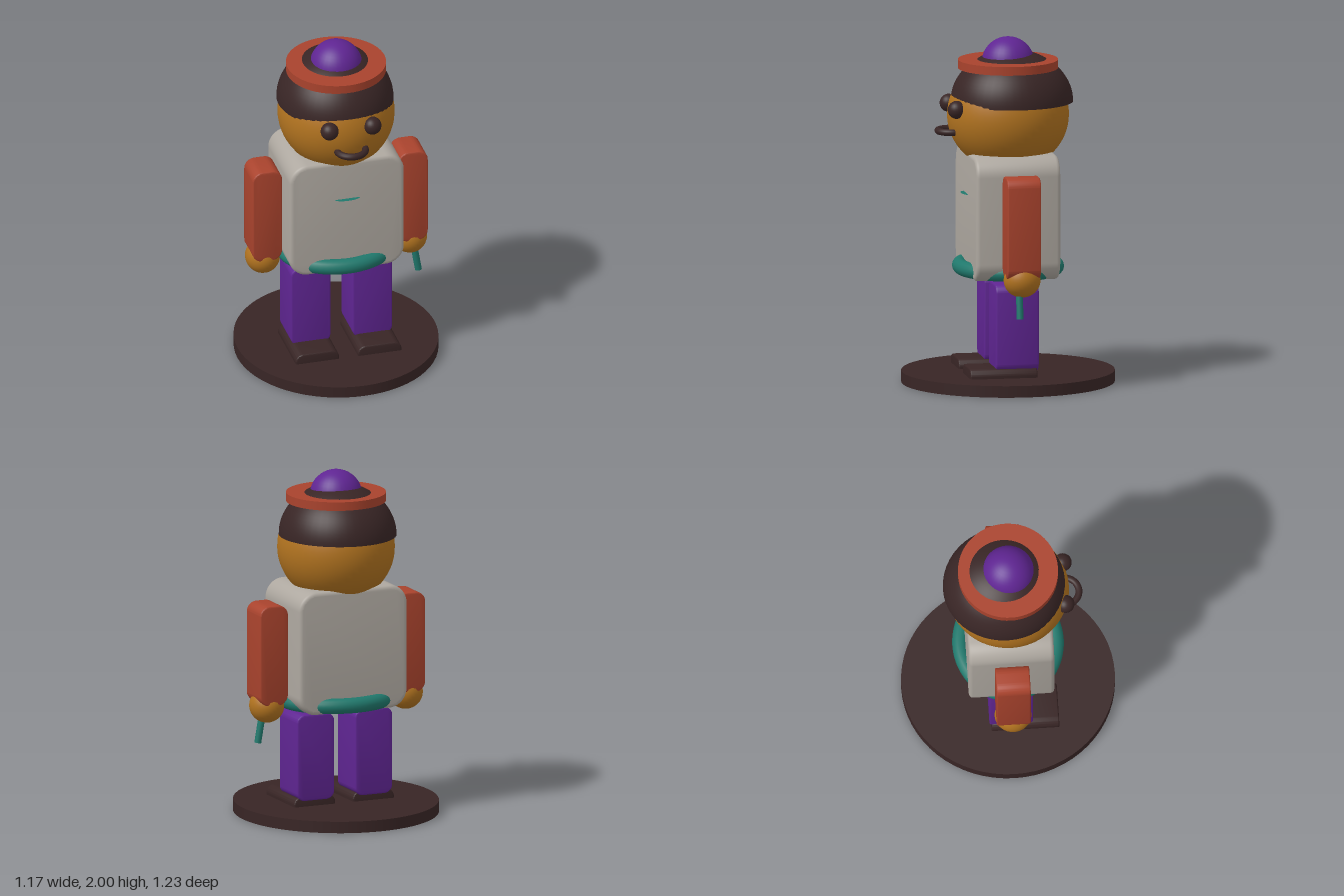
import * as THREE from 'three';
import { toCreasedNormals } from 'three/addons/utils/BufferGeometryUtils.js';

const paint = (name, color, extra = {}) => {
  const m = new THREE.MeshStandardMaterial({ color, ...extra });
  m.name = name;
  return m;
};

// Rounded rectangle in x/y, extruded along z with a small soft bevel, centred on the origin
function slab(w, h, d, r, bevel) {
  const x = w / 2 - bevel, y = h / 2 - bevel, c = Math.max(r - bevel, 0.005);
  const s = new THREE.Shape();
  s.absarc(x - c, y - c, c, 0, Math.PI / 2);
  s.absarc(-x + c, y - c, c, Math.PI / 2, Math.PI);
  s.absarc(-x + c, -y + c, c, Math.PI, Math.PI * 1.5);
  s.absarc(x - c, -y + c, c, Math.PI * 1.5, Math.PI * 2);
  const g = new THREE.ExtrudeGeometry(s, {
    depth: d - 2 * bevel, bevelEnabled: true, bevelSize: bevel, bevelThickness: bevel,
    bevelSegments: 3, curveSegments: 8,
  });
  g.translate(0, 0, -d / 2 + bevel);
  return toCreasedNormals(g, 0.7);
}

export function createModel() {
  const group = new THREE.Group();
  const dark = paint('dark brown', 0x382525, { side: THREE.DoubleSide });
  const skin = paint('warm skin', 0xb0721f);
  const red = paint('brick red', 0xa9432d);
  const purple = paint('purple', 0x5f2592);
  const teal = paint('teal', 0x20786c, { side: THREE.DoubleSide });
  const grey = paint('warm grey', 0xaea8a0);

  const add = (name, geo, mat, x = 0, y = 0, z = 0) => {
    const m = new THREE.Mesh(geo, mat);
    m.name = name;
    m.position.set(x, y, z);
    group.add(m);
    return m;
  };

  // Oval stand
  add('stand', new THREE.CylinderGeometry(1, 1, 0.067, 64), dark, 0, 0.0335, 0).scale.set(0.585, 1, 0.613);

  // Body and oval belt
  add('torso', slab(0.68, 0.72, 0.49, 0.11, 0.022), grey, 0, 0.985, 0);
  const belt = new THREE.TorusGeometry(0.275, 0.045, 16, 64).rotateX(Math.PI / 2);
  add('belt', belt, teal, 0, 0.672, 0).scale.x = 1.12;

  // Small flat chest trim
  const trim = new THREE.CircleGeometry(0.075, 24, Math.PI, Math.PI).rotateX(-Math.PI / 2);
  add('chestTrim', trim, teal, 0, 1.1, 0.243).scale.z = 0.4;

  // Head, hair, hat
  add('head', new THREE.SphereGeometry(1, 48, 32), skin, 0, 1.55, 0).scale.set(0.335, 0.325, 0.35);
  const dome = new THREE.SphereGeometry(1, 48, 20, 0, Math.PI * 2, 0, Math.PI / 2);
  add('hair', dome, dark, 0, 1.625, -0.022).scale.set(0.335, 0.297, 0.352);
  add('hatBrim', new THREE.CylinderGeometry(0.287, 0.287, 0.05, 64), red, 0, 1.845, 0);
  add('hatTop', new THREE.SphereGeometry(0.152, 32, 24), purple, 0, 1.848, 0);

  // Curved mouth projecting from the face
  const mouth = new THREE.TorusGeometry(0.082, 0.02, 12, 32, Math.PI).rotateX(Math.PI / 2);
  add('mouth', mouth, dark, 0, 1.465, 0.325);

  // Mirrored parts
  for (const [side, s] of [['left', 1], ['right', -1]]) {
    add(side + 'Eye', new THREE.SphereGeometry(0.052, 24, 16), dark, s * 0.127, 1.605, 0.322);
    add(side + 'Arm', slab(0.175, 0.585, 0.195, 0.06, 0.008), red, s * 0.433, 0.9625, 0);
    add(side + 'Hand', new THREE.SphereGeometry(0.1, 32, 20), skin, s * 0.437, 0.657, 0).scale.z = 1.06;
    add(side + 'Leg', slab(0.235, 0.505, 0.25, 0.05, 0.01), purple, s * 0.183, 0.3525, 0);
    add(side + 'Shoe', slab(0.26, 0.1, 0.39, 0.048, 0.008), dark, s * 0.185, 0.074, 0.08);
  }

  // Short stick held in the left hand
  add('stick', new THREE.CylinderGeometry(0.02, 0.02, 0.24, 16), teal, 0.464, 0.555, 0.02).rotation.z = 0.17;

  return group;
}
